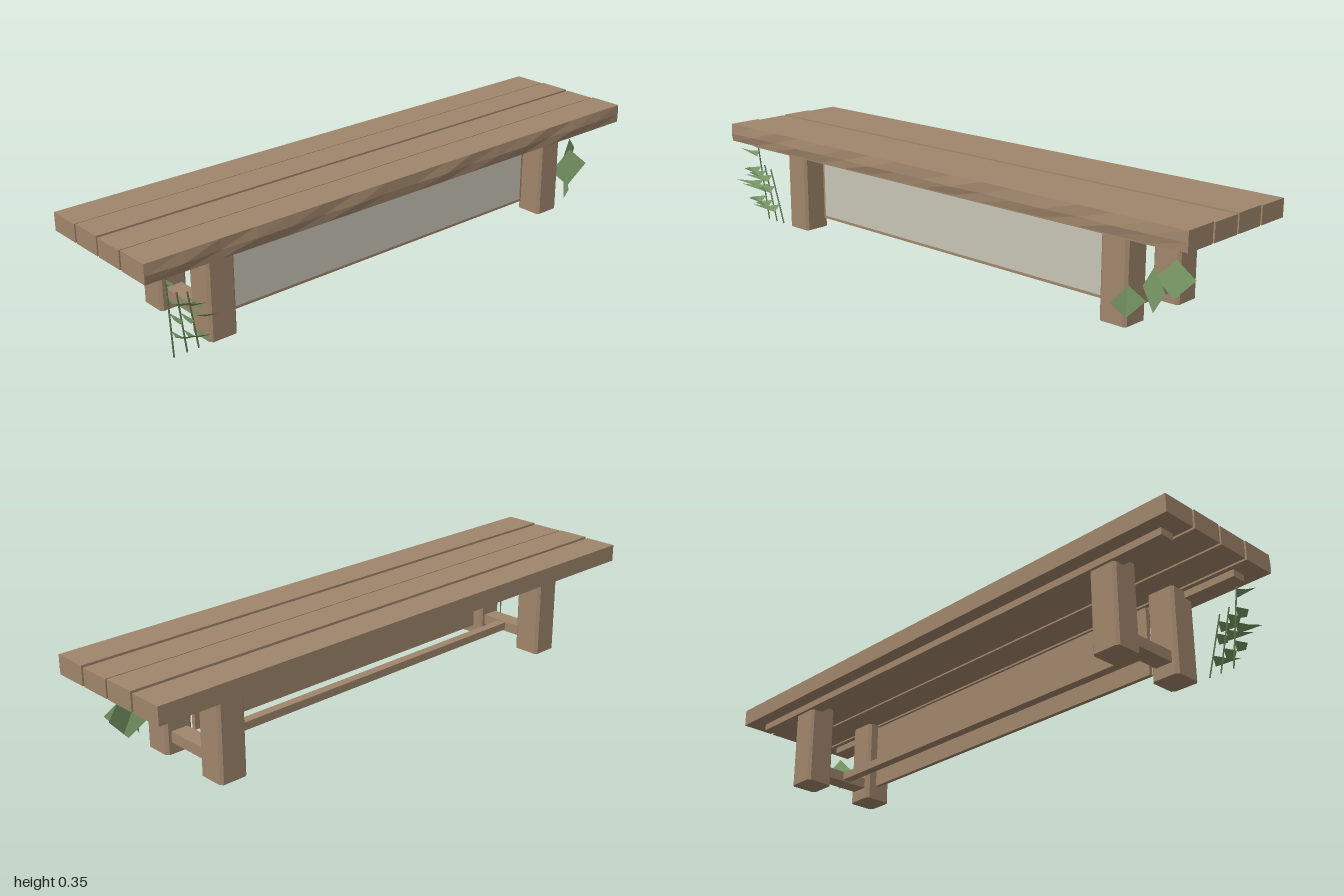
import * as THREE from 'three';

export function createModel() {
  const group = new THREE.Group();
  group.name = 'bench';
  const mat = (name, color, side = THREE.FrontSide) => {
    const m = new THREE.MeshStandardMaterial({ color, side, flatShading: true });
    m.name = name;
    return m;
  };
  const wood = mat('wood', 0xa0866c, THREE.DoubleSide);
  const panelGrey = mat('panelGrey', 0xc8c4b6);
  const leafGreen = mat('leafGreen', 0x82a36e, THREE.DoubleSide);
  const reedGreen = mat('reedGreen', 0x7a9c69, THREE.DoubleSide);
  const stemGreen = mat('stemGreen', 0x5f7450, THREE.DoubleSide);

  const add = (name, geo, material, parent = group) => {
    const mesh = new THREE.Mesh(geo, material);
    mesh.name = name;
    parent.add(mesh);
    return mesh;
  };
  // Box given by its limits on each axis
  const box = (name, x0, x1, y0, y1, z0, z1, material = wood) =>
    add(name, new THREE.BoxGeometry(x1 - x0, y1 - y0, z1 - z0), material)
      .position.set((x0 + x1) / 2, (y0 + y1) / 2, (z0 + z1) / 2);
  // Surface from points and triangle indices
  const surface = (points, index) => {
    const g = new THREE.BufferGeometry();
    g.setAttribute('position', new THREE.Float32BufferAttribute(points.flat(), 3));
    g.setIndex(index);
    g.computeVertexNormals();
    return g;
  };

  // Seat planks: back z, front z, top height
  [[0.093, 0.21, 0.353], [-0.027, 0.084, 0.35], [-0.147, -0.035, 0.352], [-0.272, -0.156, 0.349]]
    .forEach(([z0, z1, top]) => box('seatPlank', -1, 1, 0.29, top, z0, z1));

  // Rough natural edge along the front plank
  const edge = [], edgeIndex = [], steps = 16;
  for (let i = 0; i <= steps; i++) {
    const x = -1 + (2 * i) / steps;
    const bulge = 0.214 + 0.004 * Math.sin(i * 2.3);
    edge.push([x, 0.353, 0.21], [x, 0.318, bulge], [x, 0.29, 0.21]);
    if (i < steps) {
      for (let j = 0; j < 2; j++) {
        const a = i * 3 + j;
        edgeIndex.push(a, a + 1, a + 3, a + 1, a + 4, a + 3);
      }
    }
  }
  add('naturalEdge', surface(edge, edgeIndex), wood);

  // Rails under the seat
  box('seatRail', -0.94, 0.94, 0.267, 0.29, 0.109, 0.159);
  box('seatRail', -0.94, 0.94, 0.267, 0.29, -0.221, -0.171);

  // Legs with chamfered corners
  const h = 0.049, c = 0.009;
  const outline = new THREE.Shape([[h, h - c], [h - c, h], [c - h, h], [-h, h - c],
    [-h, c - h], [c - h, -h], [h - c, -h], [h, c - h]].map(([x, y]) => new THREE.Vector2(x, y)));
  const legGeo = new THREE.ExtrudeGeometry(outline, { depth: 0.29, bevelEnabled: false });
  legGeo.rotateX(-Math.PI / 2);
  for (const side of [-1, 1]) {
    for (const z of [0.1, -0.162]) add('leg', legGeo, wood).position.set(side * 0.71, 0, z);
    const x = side * 0.71;
    box('sideStretcher', x - 0.03, x + 0.03, 0.04, 0.076, -0.115, 0.053);
  }
  box('longStretcher', -0.69, 0.69, 0.045, 0.072, -0.047, -0.015);

  // Framed front panel
  box('panelFrame', -0.64, 0.638, 0.04, 0.268, 0.07, 0.085);
  box('panelFace', -0.63, 0.628, 0.05, 0.267, 0.084, 0.087, panelGrey);

  // Broad diamond leaves: top, side, bottom, side
  [
    [[0.885, 0.22, 0.09], [0.94, 0.165, 0.07], [0.88, 0.1, 0.09], [0.83, 0.16, 0.11]],
    [[0.84, 0.2, 0.13], [0.9, 0.14, 0.16], [0.84, 0.06, 0.13], [0.78, 0.12, 0.1]],
    [[0.78, 0.14, 0.17], [0.815, 0.09, 0.13], [0.775, 0.04, 0.17], [0.75, 0.09, 0.21]],
  ].forEach((pts) => add('broadLeaf', surface(pts, [0, 2, 1, 0, 3, 2]), leafGreen));

  // Reeds: base x, top x, top height, leaf heights
  const reeds = new THREE.Group();
  reeds.name = 'reeds';
  group.add(reeds);
  [
    [-0.885, -0.908, 0.268, [0.25, 0.19, 0.14, 0.08]],
    [-0.84, -0.875, 0.21, [0.18, 0.13, 0.07]],
    [-0.8, -0.84, 0.2, [0.17, 0.13, 0.06]],
  ].forEach(([x0, x1, top, heights], r) => {
    const path = new THREE.LineCurve3(new THREE.Vector3(x0, 0, 0.146), new THREE.Vector3(x1, top, 0.165));
    add('reedStem', new THREE.TubeGeometry(path, 1, 0.003, 4), stemGreen, reeds);
    heights.forEach((y, i) => {
      const t = y / top, x = x0 + (x1 - x0) * t, z = 0.146 + 0.019 * t;
      const dir = (i + r) % 2 ? 1 : -1;
      const reach = i === 0 && r === 0 ? 0.06 : 0.1;
      // Folded leaf with a raised pointed tip
      const pts = [[x, y + 0.01, z], [x - 0.015, y + 0.012, z + reach * 0.45],
        [x + 0.02, y - 0.006, z + reach * 0.4], [x + dir * 0.03, y + 0.025, z + reach]];
      add('reedLeaf', surface(pts, [0, 1, 2, 1, 3, 2]), reedGreen, reeds);
    });
  });
  return group;
}
